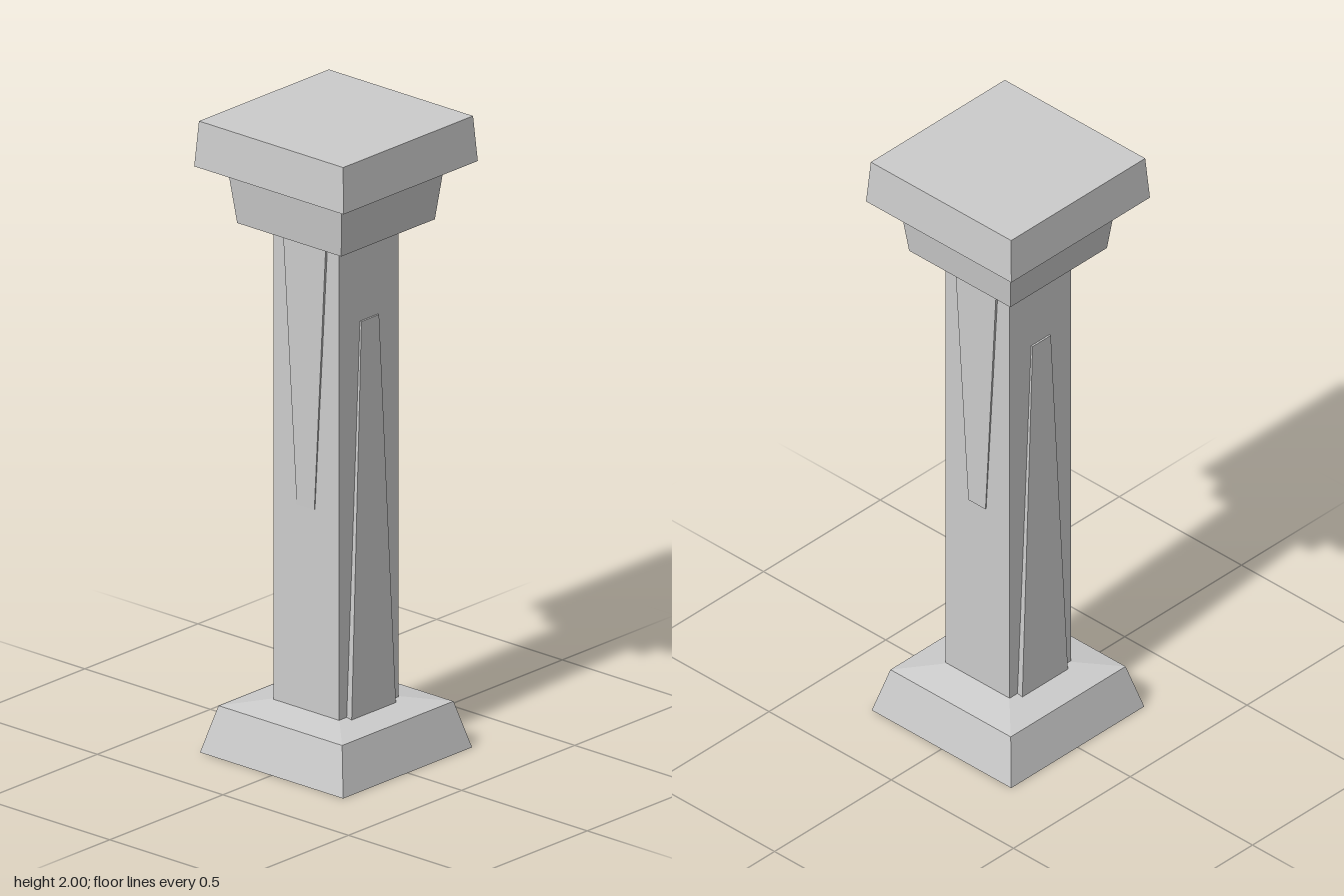
import * as THREE from 'three';

const material = new THREE.MeshStandardMaterial({ color: 0xcccccc, flatShading: true });

function addMesh(parent, name, geometry) {
  const flat = geometry.toNonIndexed();
  flat.computeVertexNormals();
  const mesh = new THREE.Mesh(flat, material);
  mesh.name = name;
  parent.add(mesh);
  return mesh;
}

// Square solid from a profile of [half width, y] pairs, bottom to top
function squareTurned(profile) {
  const points = profile.map(([half, y]) => new THREE.Vector2(half * Math.SQRT2, y));
  return new THREE.LatheGeometry(points, 4, Math.PI / 4);
}

// Slab facing +z, with its own half width and face depth at each end
function taperedPanel(bottom, top) {
  const back = 0.1;
  const geometry = new THREE.BoxGeometry(2, 1, 1);
  const pos = geometry.attributes.position;
  for (let i = 0; i < pos.count; i++) {
    const end = pos.getY(i) > 0 ? top : bottom;
    pos.setXYZ(i, Math.sign(pos.getX(i)) * end.half, end.y, pos.getZ(i) > 0 ? end.depth : back);
  }
  return geometry;
}

export function createModel() {
  const pillar = new THREE.Group();
  pillar.name = 'pillar';

  // Sloped plinth
  addMesh(pillar, 'base', squareTurned([[0, 0], [0.285, 0], [0.246, 0.147], [0.13, 0.167], [0, 0.167]]));

  // Shaft and its panels sit very slightly off centre
  const column = new THREE.Group();
  column.name = 'column';
  column.position.set(-0.004, 0, 0.003);
  pillar.add(column);
  addMesh(column, 'shaft', squareTurned([[0, 0.15], [0.131, 0.15], [0.131, 1.67], [0, 1.67]]));

  // Rising panels on front and back, hanging panels on the sides
  const rising = taperedPanel({ y: 0.155, half: 0.098, depth: 0.151 }, { y: 1.405, half: 0.039, depth: 0.137 });
  const hanging = taperedPanel({ y: 0.81, half: 0.035, depth: 0.134 }, { y: 1.66, half: 0.085, depth: 0.139 });
  ['frontPanel', 'leftPanel', 'backPanel', 'rightPanel'].forEach((name, i) => {
    addMesh(column, name, i % 2 ? hanging : rising).rotation.y = (i * Math.PI) / 2;
  });

  // Two-step capital
  addMesh(pillar, 'capital', squareTurned([
    [0, 1.655], [0.13, 1.655], [0.207, 1.675], [0.224, 1.822],
    [0.297, 1.857], [0.287, 2], [0, 2],
  ]));

  return pillar;
}
